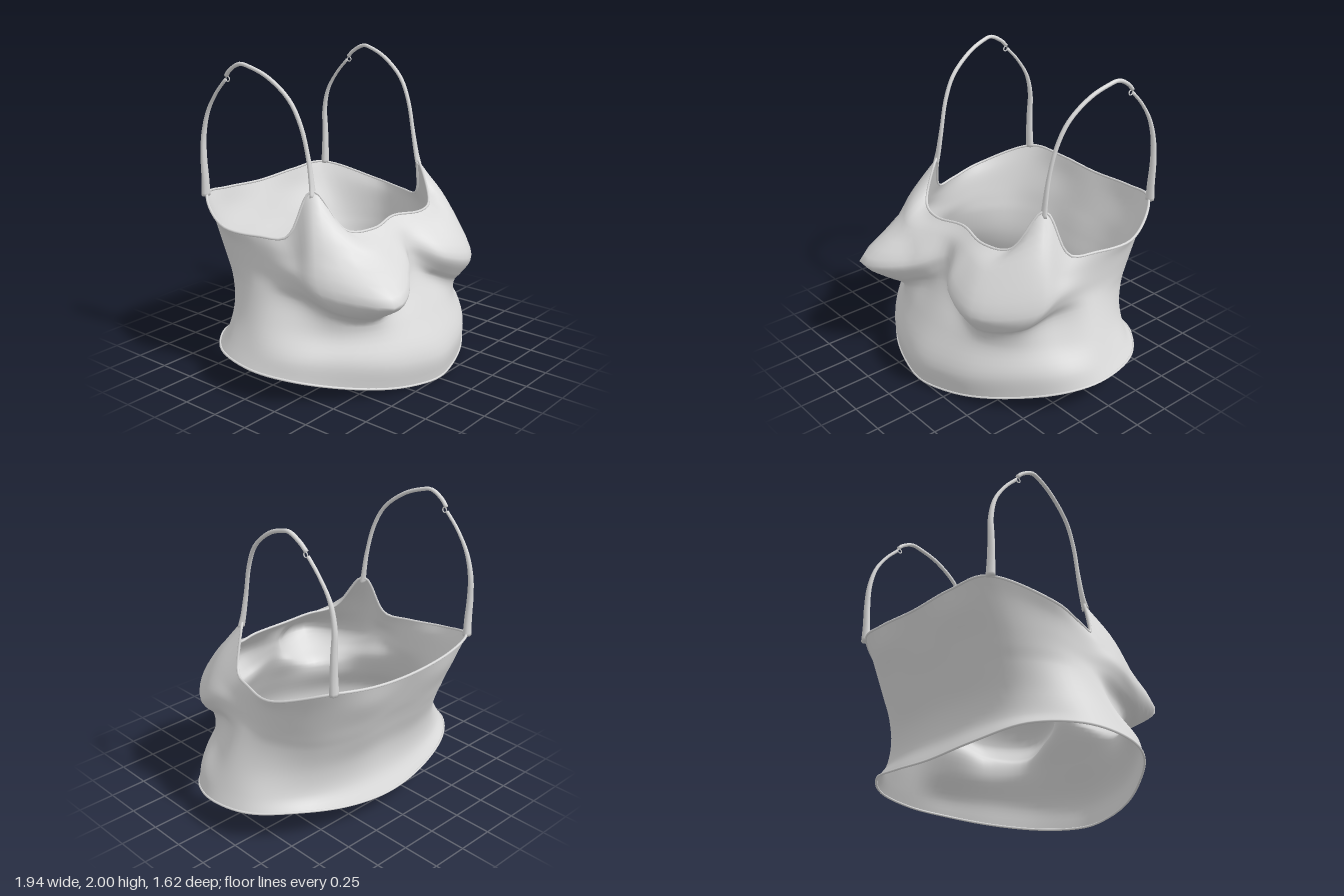
import * as THREE from 'three';

const V = (p) => new THREE.Vector3(...p);

// Half cross-sections (+x side) from front centre round to back centre.
const hem = [[0, 0.01, 0.755], [0.2, 0.02, 0.72], [0.42, 0.05, 0.64], [0.67, 0.1, 0.47], [0.88, 0.16, 0.26],
  [0.962, 0.19, 0.02], [0.91, 0.215, -0.28], [0.68, 0.22, -0.5], [0.35, 0.17, -0.61], [0, 0.14, -0.64]];
const hip = [[0, 0.18, 0.77], [0.2, 0.19, 0.735], [0.42, 0.21, 0.65], [0.66, 0.25, 0.47], [0.85, 0.28, 0.25],
  [0.915, 0.29, 0], [0.86, 0.3, -0.27], [0.62, 0.3, -0.47], [0.32, 0.29, -0.555], [0, 0.28, -0.57]];
const waist = [[0, 0.42, 0.655], [0.2, 0.42, 0.63], [0.4, 0.41, 0.575], [0.6, 0.41, 0.43], [0.74, 0.43, 0.22],
  [0.84, 0.45, -0.02], [0.78, 0.45, -0.27], [0.57, 0.45, -0.48], [0.3, 0.45, -0.56], [0, 0.45, -0.565]];
const underBust = [[0, 0.66, 0.53], [0.16, 0.61, 0.55], [0.4, 0.51, 0.58], [0.62, 0.54, 0.42], [0.685, 0.59, 0.2],
  [0.765, 0.62, -0.02], [0.735, 0.62, -0.28], [0.57, 0.62, -0.52], [0.3, 0.62, -0.62], [0, 0.62, -0.62]];
const lowerCup = [[0, 0.77, 0.505], [0.17, 0.66, 0.59], [0.42, 0.565, 0.62], [0.68, 0.6, 0.425], [0.73, 0.69, 0.21],
  [0.74, 0.7, -0.02], [0.73, 0.71, -0.3], [0.58, 0.71, -0.55], [0.31, 0.71, -0.655], [0, 0.71, -0.655]];
const bust = [[0, 0.84, 0.49], [0.19, 0.75, 0.645], [0.46, 0.68, 0.675], [0.74, 0.71, 0.38], [0.75, 0.78, 0.2],
  [0.735, 0.78, -0.03], [0.735, 0.8, -0.32], [0.59, 0.8, -0.58], [0.32, 0.8, -0.69], [0, 0.8, -0.695]];
const chest = [[0, 0.94, 0.45], [0.21, 0.93, 0.5], [0.42, 0.92, 0.53], [0.68, 0.98, 0.3], [0.71, 0.88, 0.16],
  [0.73, 0.88, -0.05], [0.75, 0.91, -0.35], [0.585, 0.97, -0.66], [0.34, 0.95, -0.755], [0, 0.95, -0.755]];
const topEdge = [[0, 1.02, 0.37], [0.24, 1.0, 0.405], [0.44, 1.02, 0.34], [0.545, 1.26, 0.165], [0.67, 0.98, 0.07],
  [0.73, 0.965, -0.1], [0.78, 0.985, -0.37], [0.58, 1.1, -0.725], [0.34, 1.08, -0.79], [0, 1.06, -0.8]];

const COLS = 90, ROWS = 35;

// Mirror a half section into a closed smooth ring.
function ringCurve(half) {
  const mirrored = half.slice(1, -1).reverse().map(([x, y, z]) => [-x, y, z]);
  return new THREE.CatmullRomCurve3([...half, ...mirrored].map(V), true);
}

// Draw the cup on the -x side out to an uneven, sharp point.
function pullCup(p) {
  const d = Math.hypot(p.x + 0.54, (p.y - 0.68) * 1.7, p.z - 0.62);
  const w = Math.max(0, 1 - d / 0.36);
  return p.add(V([-0.045, 0, 0.19]).multiplyScalar(w));
}

// Build an indexed surface from rows of points; each row wraps round.
function skin(rows, flip = false) {
  const n = rows[0].length, index = [];
  for (let r = 0; r < rows.length - 1; r++) {
    for (let c = 0; c < n; c++) {
      const a = r * n + c, b = r * n + (c + 1) % n;
      if (flip) index.push(a, a + n, b, b, a + n, b + n);
      else index.push(a, b, a + n, b, b + n, a + n);
    }
  }
  const g = new THREE.BufferGeometry().setFromPoints(rows.flat());
  g.setIndex(index);
  g.computeVertexNormals();
  return g;
}

// Strap: an oval section swept along a path; width tapers by rule.
function strapGeometry(points, widthAt, thickAt) {
  const curve = new THREE.CatmullRomCurve3(points.map(V));
  const rows = [], steps = 36, sides = 8;
  for (let i = 0; i <= steps; i++) {
    const t = i / steps, p = curve.getPoint(t), tan = curve.getTangent(t);
    const normal = new THREE.Vector3().crossVectors(tan, V([1, 0, 0])).normalize();
    const side = new THREE.Vector3().crossVectors(normal, tan).normalize();
    const row = [];
    for (let k = 0; k < sides; k++) {
      const a = (k / sides) * Math.PI * 2;
      row.push(p.clone().addScaledVector(side, Math.cos(a) * widthAt(t))
        .addScaledVector(normal, Math.sin(a) * thickAt(t)));
    }
    rows.push(row);
  }
  // Close both ends onto their centres
  rows.unshift(rows[0].map(() => curve.getPoint(0)));
  rows.push(rows[0].map(() => curve.getPoint(1)));
  return skin(rows, true);
}

export function createModel() {
  const model = new THREE.Group();
  model.name = 'strappyTop';
  const fabric = new THREE.MeshStandardMaterial({ color: 0xdadada, side: THREE.DoubleSide });
  fabric.name = 'pale grey fabric';
  const add = (name, geometry) => {
    const mesh = new THREE.Mesh(geometry, fabric);
    mesh.name = name;
    model.add(mesh);
    return mesh;
  };

  // Bodice: rings lofted from hem to neckline
  const rings = [hem, hip, waist, underBust, lowerCup, bust, chest, topEdge].map(ringCurve);
  const rows = Array.from({ length: ROWS + 1 }, () => []);
  for (let c = 0; c < COLS; c++) {
    const column = new THREE.CatmullRomCurve3(rings.map((ring) => ring.getPoint(c / COLS)));
    for (let r = 0; r <= ROWS; r++) rows[r].push(pullCup(column.getPoint(r / ROWS)));
  }
  add('bodice', skin(rows));

  // Rolled edges
  const edge = (name, row, radius) =>
    add(name, new THREE.TubeGeometry(new THREE.CatmullRomCurve3(row, true), 120, radius, 6, true));
  edge('hemEdge', rows[0], 0.008);
  edge('necklineEdge', rows[ROWS], 0.009);

  // Straps and their joining rings, mirrored
  const frontPath = [[0.547, 1.22, 0.175], [0.54, 1.29, 0.16], [0.535, 1.45, 0.13], [0.545, 1.65, 0.08],
    [0.56, 1.8, 0], [0.58, 1.92, -0.15], [0.598, 1.972, -0.28], [0.605, 1.985, -0.36], [0.603, 1.94, -0.45],
    [0.598, 1.9, -0.49]];
  const backPath = [[0.6, 1.09, -0.717], [0.602, 1.2, -0.715], [0.605, 1.35, -0.718], [0.598, 1.5, -0.715],
    [0.593, 1.65, -0.675], [0.595, 1.78, -0.59], [0.595, 1.875, -0.5]];
  const frontWidth = (t) => 0.014 + 0.016 * Math.max(0, 1 - t / 0.25);
  const backWidth = (t) => 0.011 + 0.022 * Math.max(0, 1 - t / 0.75);
  const backThick = (t) => 0.011 + 0.014 * Math.max(0, 1 - t / 0.8);
  for (const [label, s] of [['left', 1], ['right', -1]]) {
    const flipX = (path) => path.map(([x, y, z]) => [x * s, y, z]);
    add(label + 'FrontStrap', strapGeometry(flipX(frontPath), frontWidth, () => 0.013));
    add(label + 'BackStrap', strapGeometry(flipX(backPath), backWidth, backThick));
    const ring = add(label + 'StrapRing', new THREE.TorusGeometry(0.016, 0.004, 6, 16));
    ring.position.set(0.595 * s, 1.88, -0.48);
    ring.rotation.y = Math.PI / 2;
  }
  return model;
}
